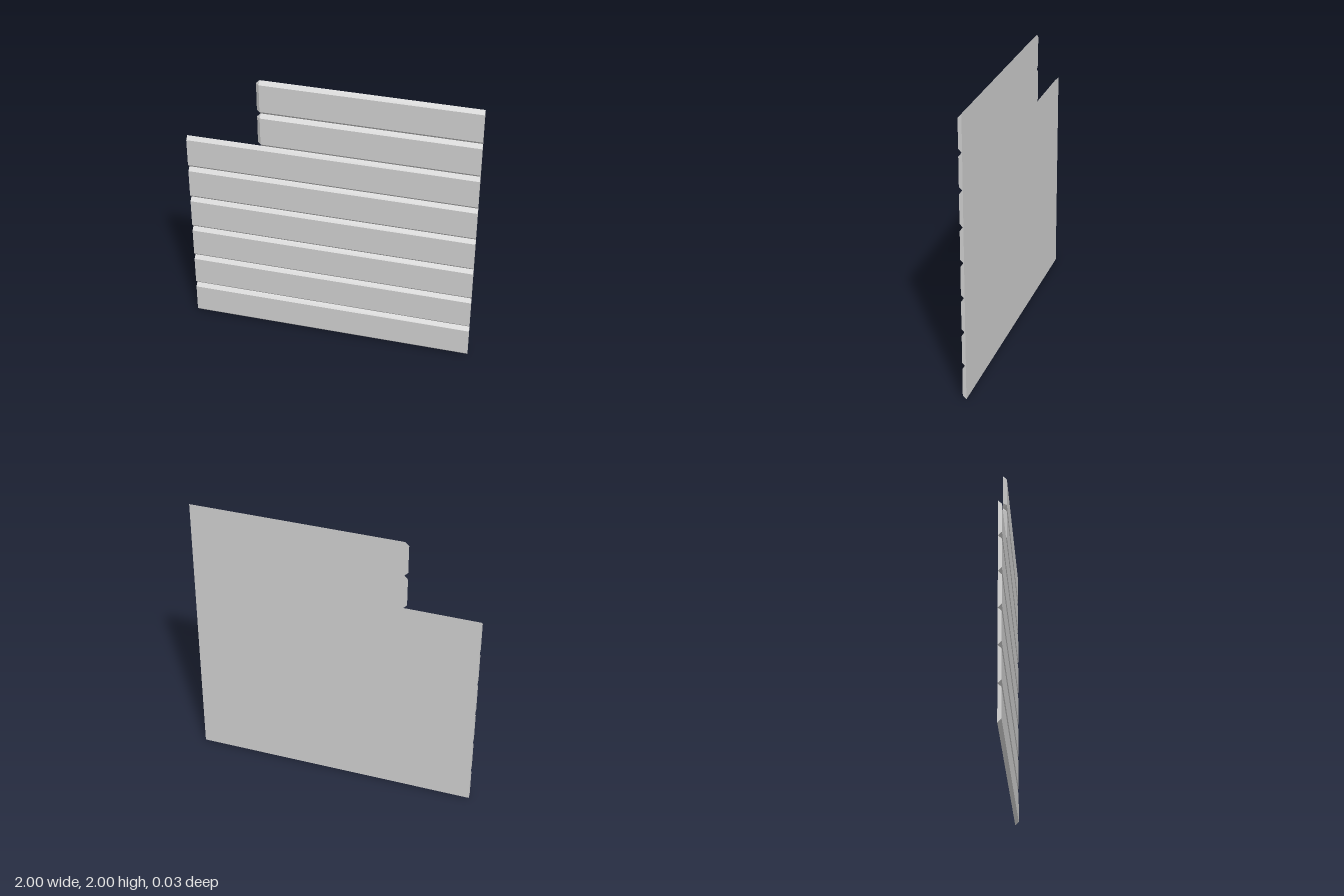
import * as THREE from 'three';
import { ConvexGeometry } from 'three/addons/geometries/ConvexGeometry.js';

const ROWS = 8, ROW_HEIGHT = 0.25, BEVEL = 0.025;
const BACK = -0.0125, FRONT = 0.0125, RIGHT_EDGE = 1;

// One board: flat back, front bevelled along its top and bottom edges.
// A finished end is also bevelled, with clipped corners.
function boardGeometry(leftEdge, finishedEnd) {
  const points = [];
  const inner = finishedEnd ? leftEdge + BEVEL : leftEdge;
  for (const [edge, inset] of [[0, BEVEL], [ROW_HEIGHT, ROW_HEIGHT - BEVEL]]) {
    for (const x of [inner, RIGHT_EDGE]) {
      points.push(new THREE.Vector3(x, edge, BACK), new THREE.Vector3(x, inset, FRONT));
    }
    if (finishedEnd) points.push(new THREE.Vector3(leftEdge, inset, BACK));
  }
  return new ConvexGeometry(points);
}

export function createModel() {
  const group = new THREE.Group();
  group.name = 'plankWallPanel';
  const material = new THREE.MeshStandardMaterial({ color: 0xcccccc, flatShading: true });
  const longBoard = boardGeometry(-1, false);
  const shortBoard = boardGeometry(-0.5, true);

  // Six full-width boards below two short boards that leave a corner opening
  for (let i = 0; i < ROWS; i++) {
    const isShort = i >= 6;
    const board = new THREE.Mesh(isShort ? shortBoard : longBoard, material);
    board.name = (isShort ? 'shortPlank' : 'longPlank') + (i + 1);
    board.position.y = i * ROW_HEIGHT;
    group.add(board);
  }
  return group;
}
